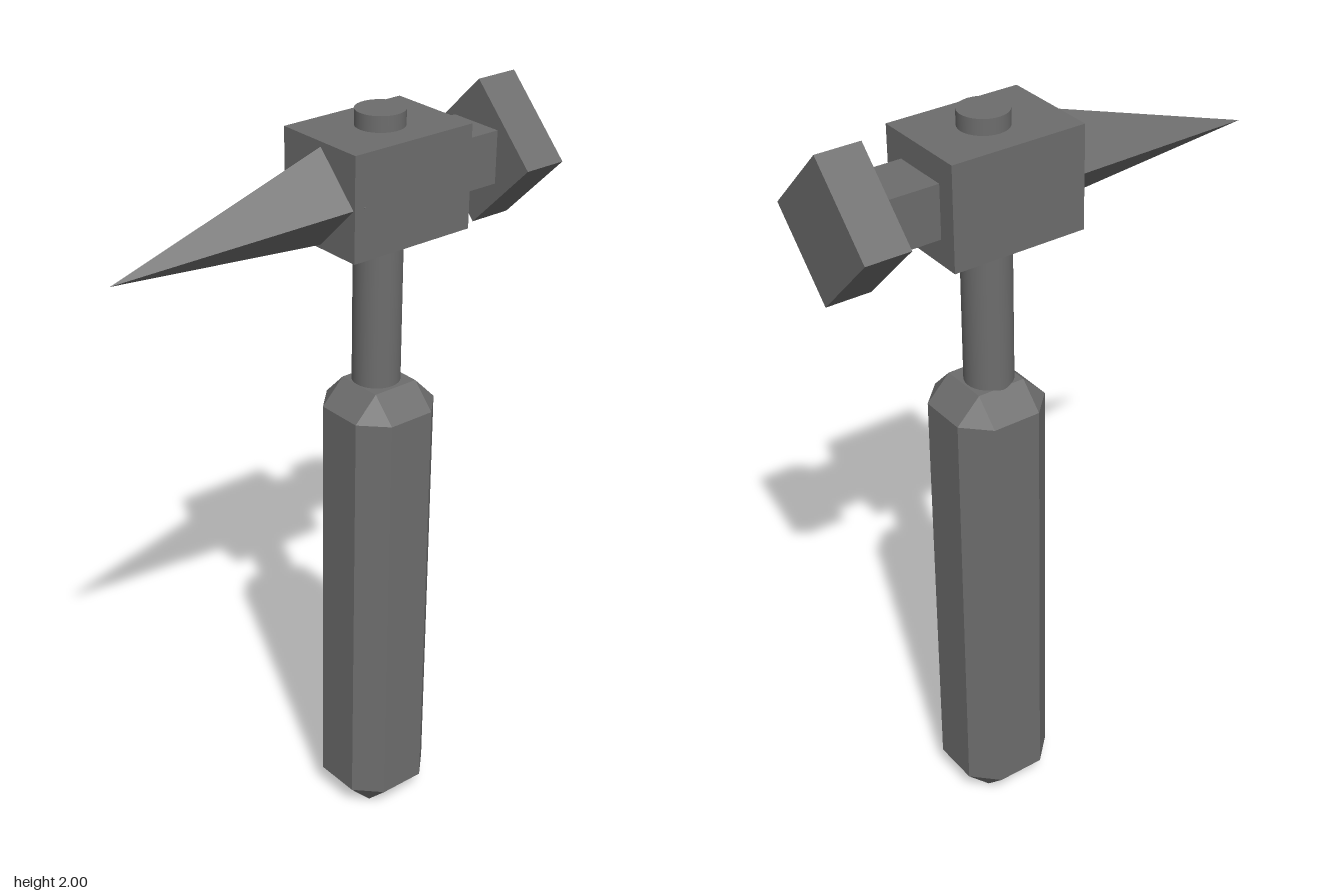
import * as THREE from 'three';
import { ConvexGeometry } from 'three/addons/geometries/ConvexGeometry.js';

export function createModel() {
  const model = new THREE.Group();
  model.name = 'hammer';
  const flat = new THREE.MeshStandardMaterial({ color: 0x6d6d6d, flatShading: true });
  const smooth = new THREE.MeshStandardMaterial({ color: 0x6d6d6d });

  const add = (name, geometry, material = flat) => {
    const mesh = new THREE.Mesh(geometry, material);
    mesh.name = name;
    model.add(mesh);
    return mesh;
  };
  // Box given by its extents on each axis
  const block = (name, [x0, x1], [y0, y1], [z0, z1]) =>
    add(name, new THREE.BoxGeometry(x1 - x0, y1 - y0, z1 - z0))
      .position.set((x0 + x1) / 2, (y0 + y1) / 2, (z0 + z1) / 2);

  // Grip: a tall box with every edge chamfered and triangular corners
  const w = 0.129, c = 0.065, h = 1.29;
  const points = [];
  for (const sx of [-1, 1]) for (const sz of [-1, 1]) {
    for (const [end, inner] of [[0, c], [h, h - c]]) {
      points.push(
        new THREE.Vector3(sx * c, end, sz * c),
        new THREE.Vector3(sx * w, inner, sz * c),
        new THREE.Vector3(sx * c, inner, sz * w));
    }
  }
  add('grip', new ConvexGeometry(points)).position.set(0.171, 0, 0.007);

  // Round shaft running up through the head
  add('shaft', new THREE.CylinderGeometry(0.062, 0.062, 0.8, 32), smooth)
    .position.set(0.168, 1.593, -0.001);

  // Head block and the neck of the striking side
  block('headBlock', [-0.015, 0.341], [1.69, 1.953], [-0.132, 0.13]);
  block('neck', [0.32, 0.5], [1.754, 1.89], [-0.081, 0.072]);

  // Striking face: square block standing on its corner
  const side = 0.184 * Math.SQRT2;
  const face = add('strikingFace', new THREE.BoxGeometry(0.117, side, side));
  face.position.set(0.539, 1.816, -0.001);
  face.rotation.x = Math.PI / 4;

  // Spike: four-sided pyramid with a drooping tip
  add('spike', new ConvexGeometry([
    [-0.6, 1.753, 0.004],
    [0.015, 1.95, 0.005],
    [0.015, 1.697, 0.005],
    [0.015, 1.823, 0.131],
    [0.015, 1.823, -0.12],
  ].map((p) => new THREE.Vector3(...p))));

  return model;
}
